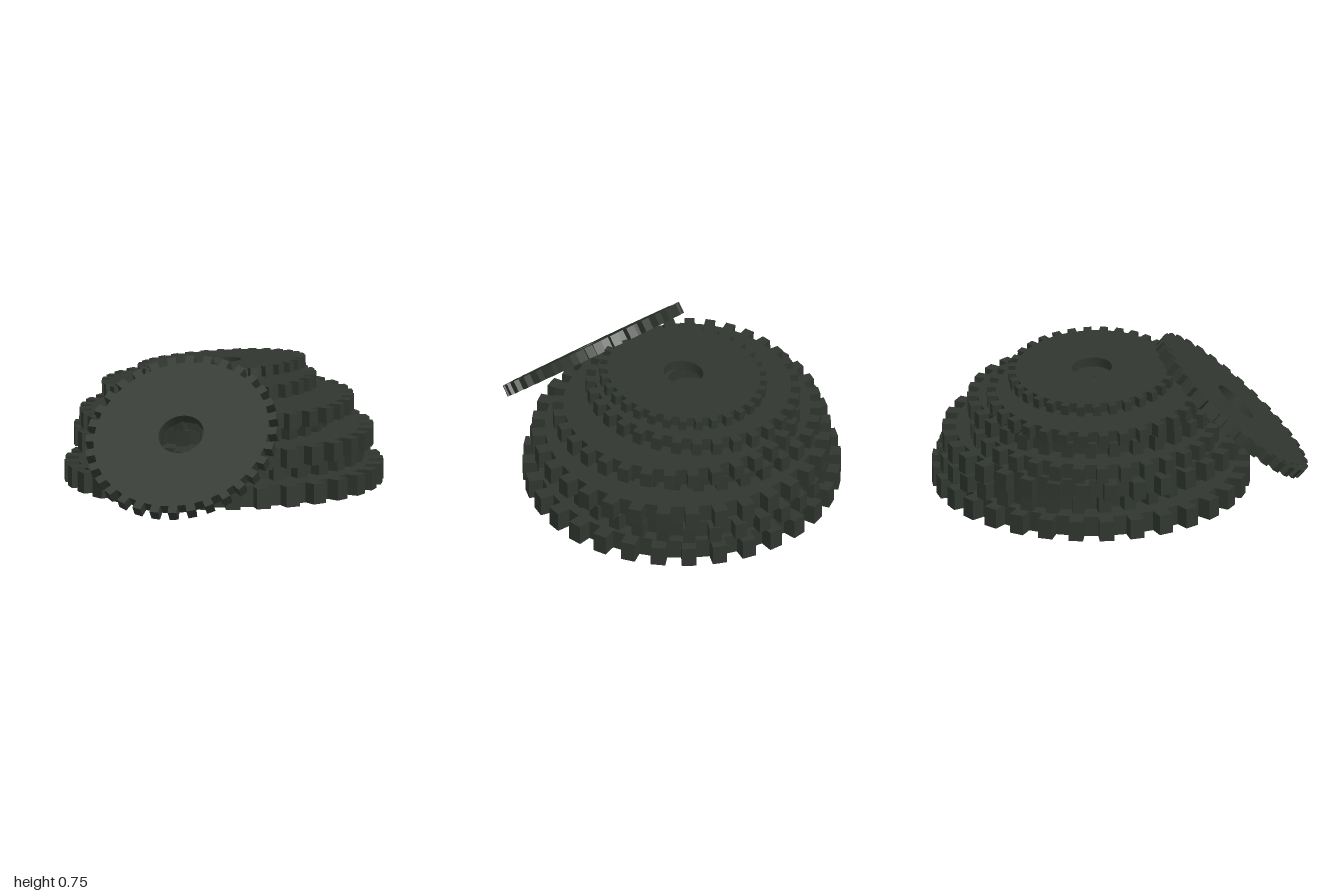
import * as THREE from 'three';

const TEETH = 32;
const ROOT = 0.912;      // tooth root radius, relative to the tip radius
const HALF_TOOTH = 0.046; // half of a tooth's width, relative to the tip radius
const HOLE = 0.236;      // centre hole radius, relative to the tip radius

// Flat gear centred on its origin with its axis along y
function gearGeometry(radius, thickness, phase) {
  const shape = new THREE.Shape();
  const rootAngle = Math.asin(HALF_TOOTH / ROOT);
  const tipAngle = Math.asin(HALF_TOOTH);
  for (let i = 0; i < TEETH; i++) {
    const mid = phase + (i / TEETH) * Math.PI * 2;
    const corners = [[ROOT, -rootAngle], [1, -tipAngle], [1, tipAngle], [ROOT, rootAngle]];
    corners.forEach(([r, offset], k) => {
      const a = mid + offset;
      const x = Math.sin(a) * r * radius;
      const y = Math.cos(a) * r * radius;
      if (i === 0 && k === 0) shape.moveTo(x, y);
      else shape.lineTo(x, y);
    });
  }
  shape.closePath();
  const hole = new THREE.Path();
  hole.absarc(0, 0, HOLE * radius, 0, Math.PI * 2, false);
  shape.holes.push(hole);
  const geometry = new THREE.ExtrudeGeometry(shape, {
    depth: thickness, bevelEnabled: false, curveSegments: 32,
  });
  geometry.translate(0, 0, -thickness / 2);
  geometry.rotateX(-Math.PI / 2);
  return geometry;
}

export function createModel() {
  const group = new THREE.Group();
  group.name = 'gearPile';
  const iron = new THREE.MeshStandardMaterial({ color: 0x30362f });
  iron.name = 'darkIron';

  // Each gear: tip radius, thickness, centre, tilt about x and z, tooth phase
  const gears = [
    { name: 'baseGear', r: 0.845, t: 0.11, at: [0, 0.065, -0.155], phase: 0.05 },
    { name: 'secondGear', r: 0.722, t: 0.092, at: [0, 0.165, -0.243], phase: 0.12 },
    { name: 'thirdGear', r: 0.795, t: 0.1, at: [0, 0.26, -0.15], phase: 0.02 },
    { name: 'fourthGear', r: 0.66, t: 0.084, at: [-0.11, 0.351, -0.15], phase: 0.09 },
    { name: 'fifthGear', r: 0.657, t: 0.084, at: [0.035, 0.434, -0.15], phase: 0.15 },
    { name: 'sixthGear', r: 0.57, t: 0.072, at: [-0.08, 0.527, -0.15], tilt: [-0.03, 0.05], phase: 0.06 },
    { name: 'topGear', r: 0.447, t: 0.054, at: [-0.012, 0.626, -0.15], tilt: [-0.05, 0.075], phase: 0.1 },
    { name: 'leaningGear', r: 0.518, t: 0.062, at: [-0.01, 0.377, 0.6], tilt: [0.748, 0], phase: 0.08 },
  ];
  for (const { name, r, t, at, tilt = [0, 0], phase } of gears) {
    const gear = new THREE.Mesh(gearGeometry(r, t, phase), iron);
    gear.name = name;
    gear.position.set(...at);
    gear.rotation.set(tilt[0], 0, tilt[1]);
    group.add(gear);
  }
  return group;
}
